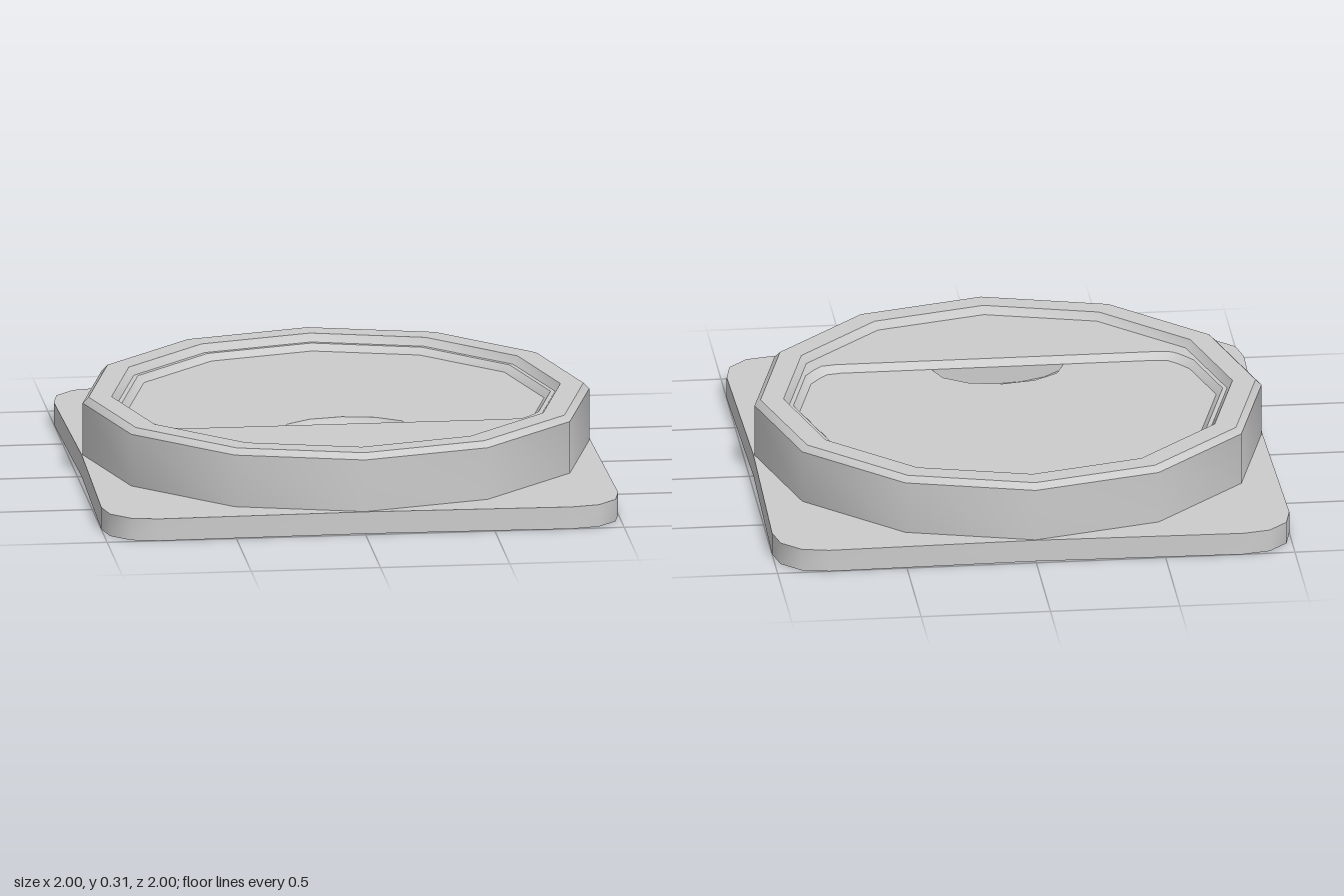
import * as THREE from 'three';
import { toCreasedNormals } from 'three/addons/utils/BufferGeometryUtils.js';

const material = new THREE.MeshStandardMaterial({ color: 0xcccccc, side: THREE.DoubleSide });
const SIDES = 12;
const PLATE_Y = 0.087, PANEL_Y = 0.285, FLOOR_Y = 0.26;
const SCOOP = { z: 0.372, rx: 0.255, rz: 0.175, depth: 0.07, segments: 6 };

// Points are [x, z] pairs
function ringLoop(r) {
  return Array.from({ length: SIDES }, (_, i) => {
    const a = (i / SIDES) * Math.PI * 2;
    return [r * Math.cos(a), r * Math.sin(a)];
  });
}

// Rounded square whose sides bow slightly inward
function plateLoop() {
  const side = [[0.984, 0], [1, 0.8], [0.978, 0.905], [0.905, 0.978], [0.8, 1]];
  const loop = [];
  for (let k = 0; k < 4; k++) {
    const c = Math.round(Math.cos(k * Math.PI / 2)), s = Math.round(Math.sin(k * Math.PI / 2));
    for (const [x, z] of side) loop.push([x * c - z * s, x * s + z * c]);
  }
  return loop;
}

// Twelve-sided outline cut off by a straight front edge with rounded corners
function pocketLoop(r, front) {
  const edgeX = (z) => r - z * Math.tan(Math.PI / SIDES);
  const corner = [
    [edgeX(front - 0.1), front - 0.1],
    [edgeX(front) - 0.012, front - 0.045],
    [edgeX(front) - 0.045, front - 0.01],
    [edgeX(front) - 0.1, front],
  ];
  const back = [];
  for (let i = 0; i <= SIDES / 2; i++) {
    const a = Math.PI + (i / SIDES) * Math.PI * 2;
    back.push([r * Math.cos(a), r * Math.sin(a)]);
  }
  const mirrored = corner.map(([x, z]) => [-x, z]).reverse();
  return [...back, ...corner, ...mirrored];
}

function scoopArc(scale) {
  return Array.from({ length: SCOOP.segments + 1 }, (_, i) => {
    const a = (i / SCOOP.segments) * Math.PI;
    return [SCOOP.rx * scale * Math.cos(a), SCOOP.z - SCOOP.rz * scale * Math.sin(a)];
  });
}

// Level face at height y
function flatFace(loop, y, hole) {
  const toVectors = (pts) => pts.map(([x, z]) => new THREE.Vector2(x, -z));
  const shape = new THREE.Shape(toVectors(loop));
  if (hole) shape.holes.push(new THREE.Path(toVectors(hole)));
  return new THREE.ShapeGeometry(shape).rotateX(-Math.PI / 2).translate(0, y, 0);
}

// Skin between successive loops, each given as { loop, y }
function skin(rows, closed = true) {
  const n = rows[0].loop.length, positions = [], index = [];
  for (const { loop, y } of rows) for (const [x, z] of loop) positions.push(x, y, z);
  for (let r = 0; r < rows.length - 1; r++) {
    for (let i = 0; i < (closed ? n : n - 1); i++) {
      const a = r * n + i, b = r * n + (i + 1) % n;
      index.push(a, a + n, b, b, a + n, b + n);
    }
  }
  const g = new THREE.BufferGeometry();
  g.setAttribute('position', new THREE.Float32BufferAttribute(positions, 3));
  g.setIndex(index);
  return toCreasedNormals(g, 0.6);
}

export function createModel() {
  const model = new THREE.Group();
  model.name = 'flushPull';
  const add = (name, geometry) => {
    const mesh = new THREE.Mesh(geometry, material);
    mesh.name = name;
    model.add(mesh);
  };

  // Square plate, open below
  const plate = plateLoop();
  add('plateTop', flatFace(plate, PLATE_Y, ringLoop(0.98)));
  add('plateWall', skin([{ loop: plate, y: 0 }, { loop: plate, y: PLATE_Y }]));

  // Bevelled twelve-sided rim
  const profile = [[0.98, PLATE_Y], [0.98, 0.292], [0.957, 0.315], [0.868, 0.315], [0.847, PANEL_Y]]
    .map(([x, y]) => new THREE.Vector2(x, y));
  add('rim', toCreasedNormals(new THREE.LatheGeometry(profile, SIDES), 0.6));

  // Front panel with a pocket behind its straight edge
  const pocketTop = pocketLoop(0.83, 0.4), pocketBottom = pocketLoop(0.805, SCOOP.z);
  add('panel', flatFace(ringLoop(0.847), PANEL_Y, pocketTop));
  add('pocketWall', skin([{ loop: pocketBottom, y: FLOOR_Y }, { loop: pocketTop, y: PANEL_Y }].reverse()));

  // Pocket floor, notched by the finger scoop at the front edge
  const half = pocketBottom.length - 4;
  add('pocketFloor', flatFace(
    [...pocketBottom.slice(0, half), ...scoopArc(1), ...pocketBottom.slice(half)], FLOOR_Y));

  // Finger scoop: a quarter bowl closed by an upright wall
  const rows = [];
  for (let i = 0; i <= 4; i++) {
    const a = (i / 4) * Math.PI / 2;
    rows.push({ loop: scoopArc(Math.cos(a)), y: FLOOR_Y - SCOOP.depth * Math.sin(a) });
  }
  add('fingerScoop', skin(rows, false));
  const wall = new THREE.Shape(rows.map(({ loop, y }) => new THREE.Vector2(loop[0][0], y))
    .concat(rows.slice(0, 4).reverse().map(({ loop, y }) => new THREE.Vector2(-loop[0][0], y))));
  add('scoopWall', new THREE.ShapeGeometry(wall).translate(0, 0, SCOOP.z));

  return model;
}
